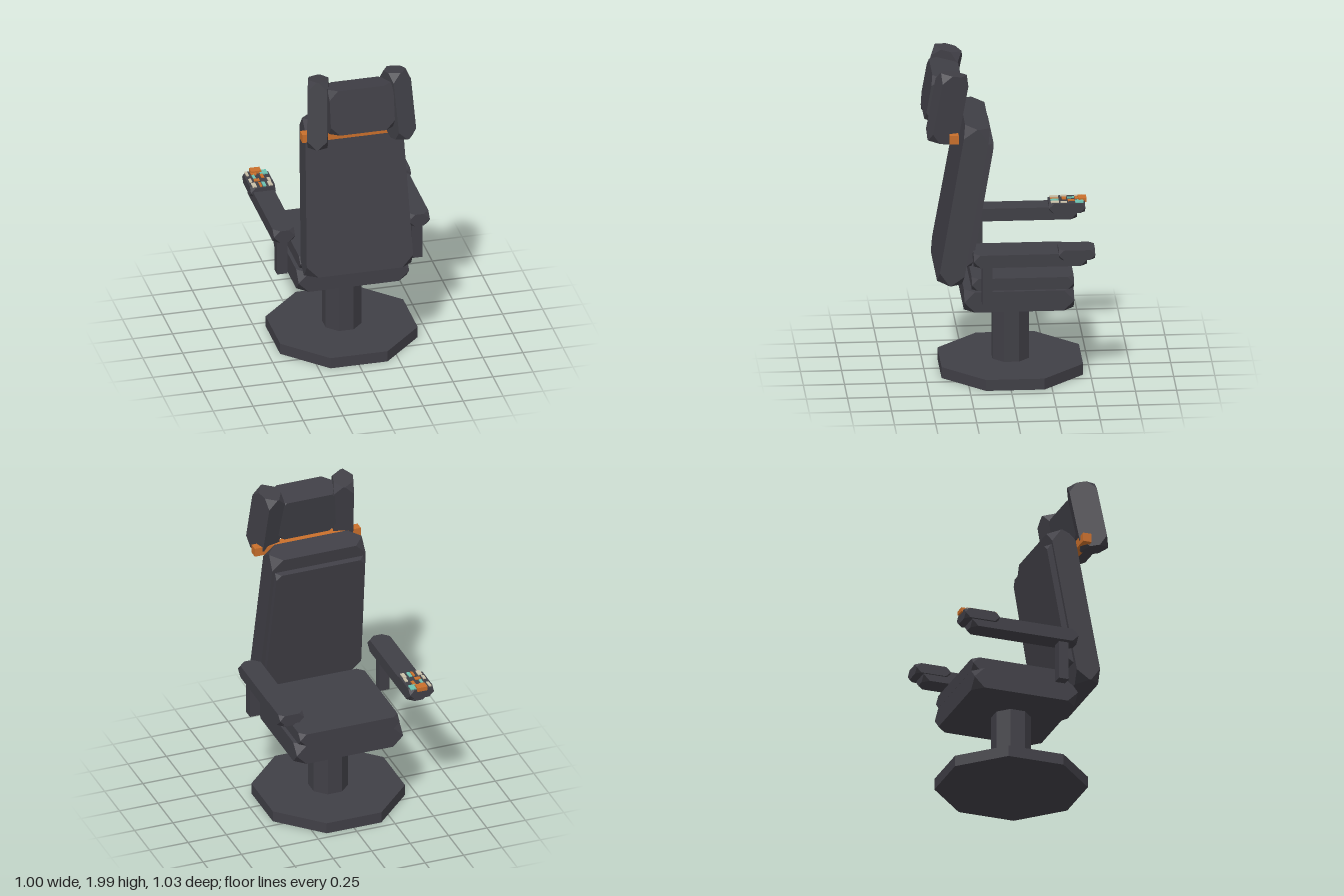
import * as THREE from 'three';
import { ConvexGeometry } from 'three/addons/geometries/ConvexGeometry.js';

const material = (name, color) => {
  const m = new THREE.MeshStandardMaterial({ color });
  m.name = name;
  return m;
};

// Box with its eight corners cut off; the top can be narrower than the bottom
function cutBox(w, h, d, cut, topScale = 1) {
  const c = Math.min(cut, Math.min(w, h, d) * 0.49);
  const points = [];
  for (const sx of [-1, 1]) for (const sy of [-1, 1]) for (const sz of [-1, 1]) {
    for (const [a, b, e] of [[c, 0, 0], [0, c, 0], [0, 0, c]]) {
      const y = sy * (h / 2 - b);
      const s = 1 + (topScale - 1) * (y / h + 0.5);
      points.push(new THREE.Vector3(sx * (w / 2 - a) * s, y, sz * (d / 2 - e)));
    }
  }
  return new ConvexGeometry(points);
}

// Eight-sided prism with flat sides facing the axes
function octagon(apothem, h) {
  const r = apothem / Math.cos(Math.PI / 8);
  const g = new THREE.CylinderGeometry(r, r, h, 8).rotateY(Math.PI / 8).toNonIndexed();
  g.computeVertexNormals();
  return g;
}

export function createModel() {
  const model = new THREE.Group();
  model.name = 'swivelChair';
  const dark = material('charcoal', 0x403f46);
  const orange = material('orange', 0xc96f2b);
  const cream = material('cream', 0xc8bfa8);
  const teal = material('teal', 0x6cc0b0);

  const add = (name, geometry, mat, x, y, z, parent = model) => {
    const mesh = new THREE.Mesh(geometry, mat);
    mesh.name = name;
    mesh.position.set(x, y, z);
    parent.add(mesh);
    return mesh;
  };
  const box = (w, h, d) => new THREE.BoxGeometry(w, h, d);

  // Foot and column
  add('basePlate', octagon(0.43, 0.07), dark, 0, 0.035, -0.025);
  add('column', octagon(0.112, 0.42), dark, 0, 0.275, -0.025);

  // Seat
  add('seatBase', cutBox(0.69, 0.13, 0.667, 0.065), dark, 0, 0.54, -0.056);
  add('seatCushion', cutBox(0.645, 0.08, 0.62, 0.04), dark, 0, 0.642, -0.08);

  // Backrest, leaning towards -z
  const backrest = new THREE.Group();
  backrest.name = 'backrest';
  backrest.position.set(0, 1.139, 0.277);
  backrest.rotation.x = -0.173;
  model.add(backrest);
  add('backShell', cutBox(0.67, 1.005, 0.153, 0.072, 0.9), dark, 0, 0, 0, backrest);
  add('backCushion', cutBox(0.61, 0.787, 0.08, 0.035, 0.94), dark, 0, 0.02, -0.074, backrest);

  // Headrest with two angled wings
  add('headCushion', cutBox(0.4, 0.285, 0.18, 0.055), dark, 0, 1.785, 0.395).rotation.x = -0.175;
  add('headrestBar', box(0.69, 0.055, 0.055), orange, 0, 1.588, 0.34);

  for (const s of [-1, 1]) {
    const side = s > 0 ? 'left' : 'right';
    const wing = add(side + 'HeadWing', cutBox(0.122, 0.43, 0.17, 0.055), dark, s * 0.25, 1.765, 0.376);
    wing.rotation.set(-0.195, s * 0.29, 0, 'YXZ');

    // Armrests
    add(side + 'ArmPost', box(0.065, 0.27, 0.063), dark, s * 0.422, 0.7, 0.146);
    add(side + 'Armrest', cutBox(0.132, 0.08, 0.687, 0.04), dark, s * 0.421, 0.85, -0.114);
    add(side + 'HandPad', cutBox(0.155, 0.062, 0.22, 0.031), dark, s * 0.423, 0.884, -0.396);
  }

  // Control panel on the right hand pad: [material, x, z, width, depth]
  const panel = new THREE.Group();
  panel.name = 'controlPanel';
  panel.position.set(-0.423, 0.918, -0.396);
  model.add(panel);
  const keys = [
    [cream, -0.058, -0.075, 0.016, 0.05], [orange, -0.018, -0.075, 0.034, 0.048],
    [teal, 0.045, -0.075, 0.046, 0.05], [teal, -0.026, -0.028, 0.016, 0.042],
    [orange, 0.026, -0.028, 0.018, 0.042], [cream, -0.058, 0.014, 0.016, 0.04],
    [orange, -0.018, 0.014, 0.034, 0.026], [cream, 0.056, 0.02, 0.018, 0.04],
    [cream, -0.05, 0.073, 0.026, 0.05], [orange, -0.01, 0.073, 0.014, 0.05],
    [teal, 0.012, 0.073, 0.02, 0.05], [cream, 0.05, 0.073, 0.024, 0.05],
  ];
  for (const [mat, x, z, w, d] of keys) add('key', box(w, 0.008, d), mat, x, 0, z, panel);
  add('frontButton', box(0.065, 0.026, 0.05), orange, -0.423, 0.919, -0.492);

  return model;
}
